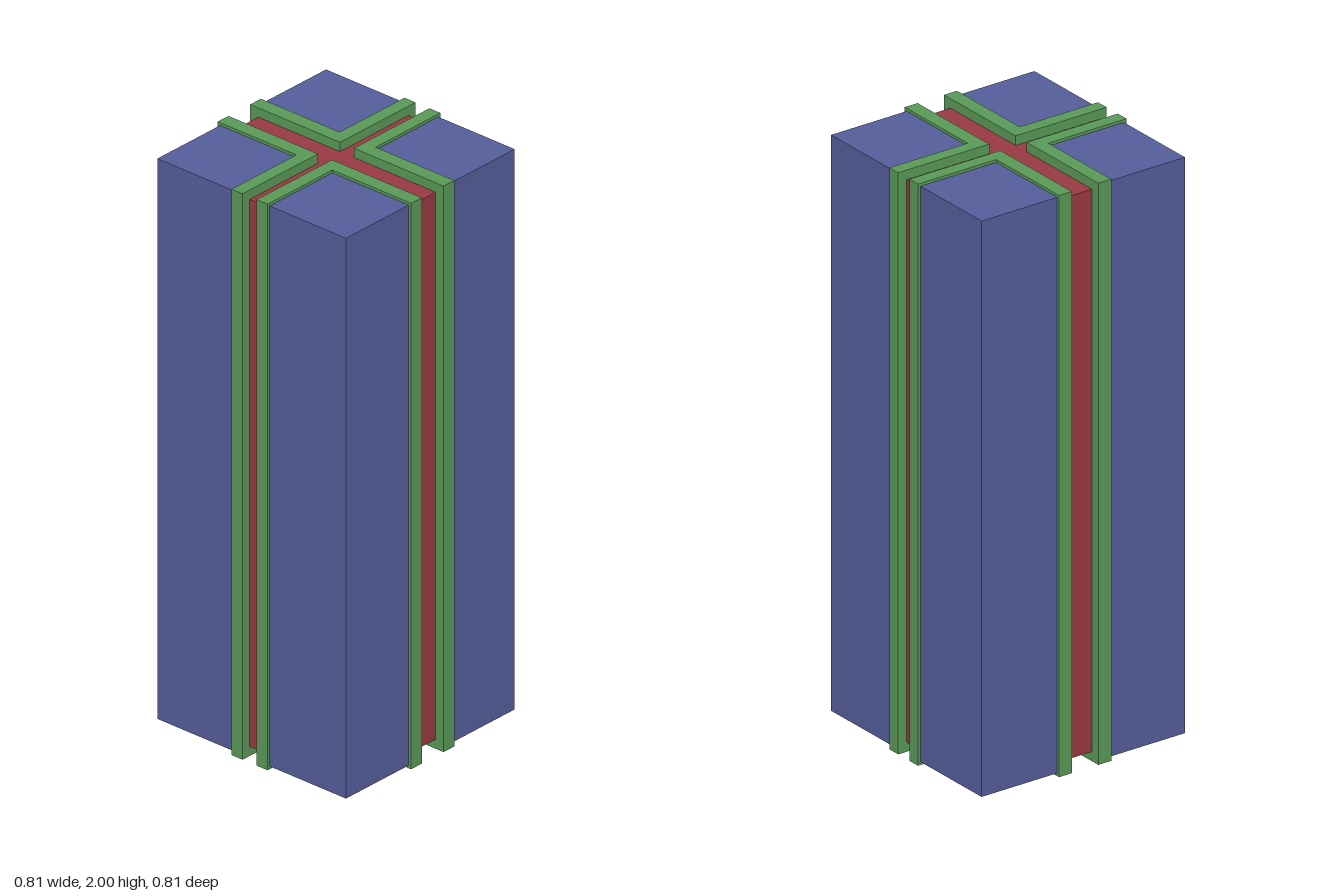
import * as THREE from 'three';

const paint = (color) => new THREE.MeshStandardMaterial({ color, flatShading: true });
const red = paint(0x9a3a42);
const green = paint(0x5a9a57);
const blue = paint(0x565e9c);

// Upright prism from a plan outline of [x, z] points, between two heights
function prism(name, outline, y0, y1, material) {
  const shape = new THREE.Shape(outline.map(([x, z]) => new THREE.Vector2(x, -z)));
  const geometry = new THREE.ExtrudeGeometry(shape, { depth: y1 - y0, bevelEnabled: false });
  geometry.rotateX(-Math.PI / 2).translate(0, y0, 0);
  const mesh = new THREE.Mesh(geometry, material);
  mesh.name = name;
  return mesh;
}

export function createModel() {
  const model = new THREE.Group();
  model.name = 'crossCorePillar';

  const gx = 0.051, gz = 0.029; // half widths of the core arms
  const px = 0.101, pz = 0.075; // inner corner of each block
  const core = 0.371, block = 0.394, lining = 0.404; // half extents

  // Cross-shaped core, recessed on every side
  model.add(prism('crossCore', [
    [gx, gz], [core, gz], [core, -gz], [gx, -gz], [gx, -core], [-gx, -core],
    [-gx, -gz], [-core, -gz], [-core, gz], [-gx, gz], [-gx, core], [gx, core],
  ], 0.033, 1.967, red));

  // Each quadrant: L-shaped lining against the core and a corner block
  for (const [sx, xName] of [[1, 'Left'], [-1, 'Right']]) {
    for (const [sz, zName] of [[1, 'front'], [-1, 'back']]) {
      const flip = (points) => points.map(([x, z]) => [x * sx, z * sz]);
      model.add(prism(zName + xName + 'Lining', flip([
        [gx, gz], [lining, gz], [lining, pz], [px, pz], [px, lining], [gx, lining],
      ]), 0, 2, green));
      model.add(prism(zName + xName + 'Block', flip([
        [px, pz], [block, pz], [block, block], [px, block],
      ]), 0.01, 1.99, blue));
    }
  }
  return model;
}
